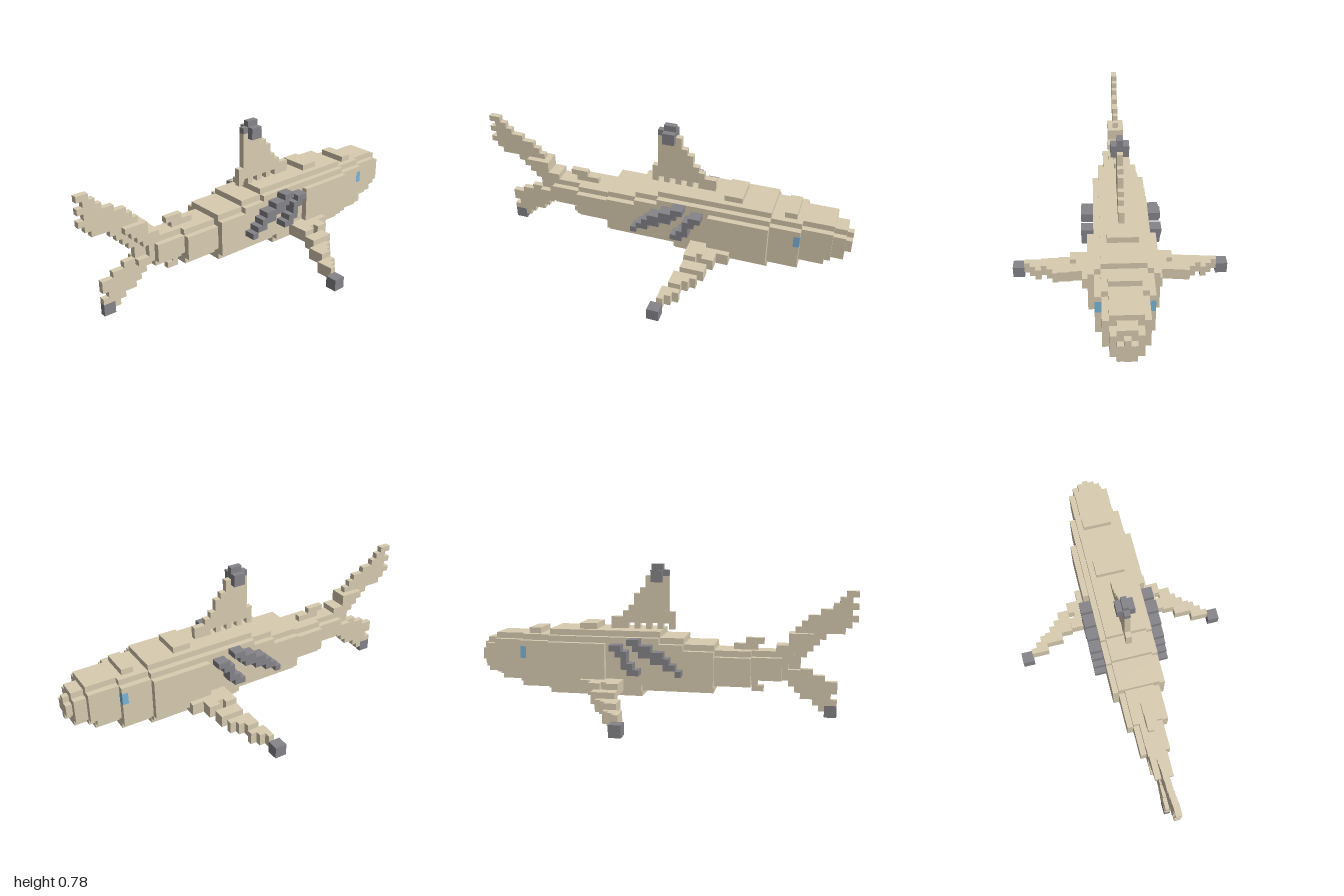
import * as THREE from 'three';

const V = 1 / 32; // edge of one block

const skin = new THREE.MeshStandardMaterial({ color: 0xd9ccb1 });
skin.name = 'sand skin';
const dark = new THREE.MeshStandardMaterial({ color: 0x858489 });
dark.name = 'dark grey';
const blue = new THREE.MeshStandardMaterial({ color: 0x7ab5d8 });
blue.name = 'eye blue';

// Body stations: first x, last x, lowest row, highest row, half width
const STATIONS = [
  [-21, -21, 7, 10, 1], [-20, -16, 6, 10, 2], [-15, -10, 5, 10, 3],
  [-9, -5, 4, 11, 4], [-4, -1, 4, 12, 4], [0, 2, 4, 13, 4], [3, 8, 3, 13, 4],
  [9, 18, 3, 13, 5], [19, 23, 4, 12, 4], [24, 27, 5, 12, 3],
  [28, 28, 6, 12, 3], [29, 30, 6, 11, 2], [31, 31, 7, 10, 1],
];

// Fin outlines: row, first x, last x
const DORSAL = [
  [22, -1, 2], [21, -1, 2], [20, -1, 3], [19, -1, 4], [18, -1, 4], [17, -1, 5], [16, -2, 6], [15, -2, 8],
  [14, -2, -2], [14, 0, 0], [14, 2, 2], [14, 4, 4], [14, 6, 8],
];
const TAIL = [
  [20, -32, -31], [19, -31, -30], [18, -32, -29], [17, -31, -27], [16, -32, -25], [15, -31, -24],
  [14, -30, -23], [13, -27, -22], [12, -26, -22], [11, -25, -20], [10, -24, -20], [9, -23, -20],
  [8, -23, -20], [7, -25, -20], [6, -27, -21], [5, -29, -22], [4, -29, -23], [3, -28, -24],
  [2, -29, -26], [1, -27, -27],
];
const SMALL_FINS = [[12, -17, -15], [11, -16, -13], [5, -16, -14], [4, -17, -16]];
const GILLS = [
  [12, 3, 4], [11, 1, 3], [10, -1, 2], [9, -2, 0], [8, -3, -2], [7, -4, -4],
  [11, 6, 7], [10, 5, 6], [9, 5, 5], [8, 4, 5], [7, 3, 4],
];
// Side fin: z step, first x, last x, lower row of two
const SIDE_FIN = [
  [16, 4, 4, 1], [15, 4, 5, 1], [14, 4, 6, 1], [13, 5, 6, 2], [12, 5, 7, 2], [11, 5, 8, 2],
  [10, 6, 9, 3], [9, 6, 9, 3], [8, 6, 7, 4], [8, 9, 10, 4], [7, 6, 10, 4], [6, 6, 12, 4],
  [5, 6, 12, 4],
];

// The six face directions with their in-plane axes (u x v = normal)
const FACES = [];
for (let a = 0; a < 3; a++) {
  for (const s of [1, -1]) {
    const n = [0, 0, 0], u = [0, 0, 0], v = [0, 0, 0];
    n[a] = s;
    u[(a + 1) % 3] = s;
    v[(a + 2) % 3] = 1;
    FACES.push({ n, u, v });
  }
}

export function createModel() {
  const taken = new Set();
  const parts = [];
  const key = (x, y, z) => `${x},${y},${z}`;

  // Collect the blocks of one part; a block belongs to the first part that claims it
  function part(name, material, fill) {
    const cells = [];
    fill((x0, x1, y0, y1, z0, z1) => {
      for (let x = x0; x <= x1; x++)
        for (let y = y0; y <= y1; y++)
          for (let z = z0; z <= z1; z++) {
            const k = key(x, y, z);
            if (taken.has(k)) continue;
            taken.add(k);
            cells.push([x, y, z]);
          }
    });
    parts.push({ name, material, cells });
  }

  // Only the outer faces of the blocks are built
  function surface(cells) {
    const pos = [], nor = [], idx = [];
    for (const [x, y, z] of cells) {
      const c = [x + 0.5, y + 0.5, z];
      for (const { n, u, v } of FACES) {
        if (taken.has(key(x + n[0], y + n[1], z + n[2]))) continue;
        const i = pos.length / 3;
        for (const [p, q] of [[-1, -1], [1, -1], [1, 1], [-1, 1]]) {
          for (let k = 0; k < 3; k++) pos.push((c[k] + (n[k] + p * u[k] + q * v[k]) / 2) * V);
          nor.push(...n);
        }
        idx.push(i, i + 1, i + 2, i, i + 2, i + 3);
      }
    }
    const g = new THREE.BufferGeometry();
    g.setAttribute('position', new THREE.Float32BufferAttribute(pos, 3));
    g.setAttribute('normal', new THREE.Float32BufferAttribute(nor, 3));
    g.setIndex(idx);
    return g;
  }

  // Coloured details come first so that they replace skin blocks
  for (const [side, s] of [['left', -1], ['right', 1]]) {
    const zr = (a, b) => (s > 0 ? [a, b] : [-b, -a]);
    part(side + 'Eye', blue, (box) => box(23, 23, 9, 10, ...zr(4, 4)));
    part(side + 'Gills', dark, (box) => {
      for (const [y, x0, x1] of GILLS) box(x0, x1, y, y, ...zr(5, 6));
    });
    part(side + 'FinTip', dark, (box) => box(3, 4, 0, 1, ...zr(17, 18)));
    part(side + 'Fin', skin, (box) => {
      for (const [z, x0, x1, y] of SIDE_FIN) box(x0, x1, y, y + 1, ...zr(z, z));
    });
  }
  part('dorsalTip', dark, (box) => {
    box(0, 1, 24, 24, 0, 0);
    box(-1, 1, 23, 23, 0, 0);
    for (const z of [-1, 1]) box(0, 1, 22, 23, z, z);
  });
  part('tailTip', dark, (box) => box(-29, -28, 0, 1, 0, 0));

  // Body with rounded upper and lower edges, and raised blocks on its back
  part('body', skin, (box) => {
    for (const [x0, x1, low, high, w] of STATIONS) {
      const inset = w > 4 ? 2 : 1;
      for (let y = low; y <= high; y++) {
        const h = Math.min(w, w - inset + Math.min(y - low, high - y));
        box(x0, x1, y, y, -h, h);
      }
    }
    box(11, 13, 14, 14, -2, 2);
    box(21, 22, 13, 13, -2, 2);
  });

  // Thin fins on the centre line, with a thicker tail root
  part('dorsalFin', skin, (box) => DORSAL.forEach(([y, a, b]) => box(a, b, y, y, 0, 0)));
  part('rearFins', skin, (box) => SMALL_FINS.forEach(([y, a, b]) => box(a, b, y, y, 0, 0)));
  part('tailFin', skin, (box) => {
    for (const [y, a, b] of TAIL) {
      box(a, b, y, y, 0, 0);
      if (y > 6 && y < 14) box(a + 2, b, y, y, -1, 1);
    }
  });

  const group = new THREE.Group();
  group.name = 'blockShark';
  for (const { name, material, cells } of parts) {
    const mesh = new THREE.Mesh(surface(cells), material);
    mesh.name = name;
    group.add(mesh);
  }
  return group;
}
